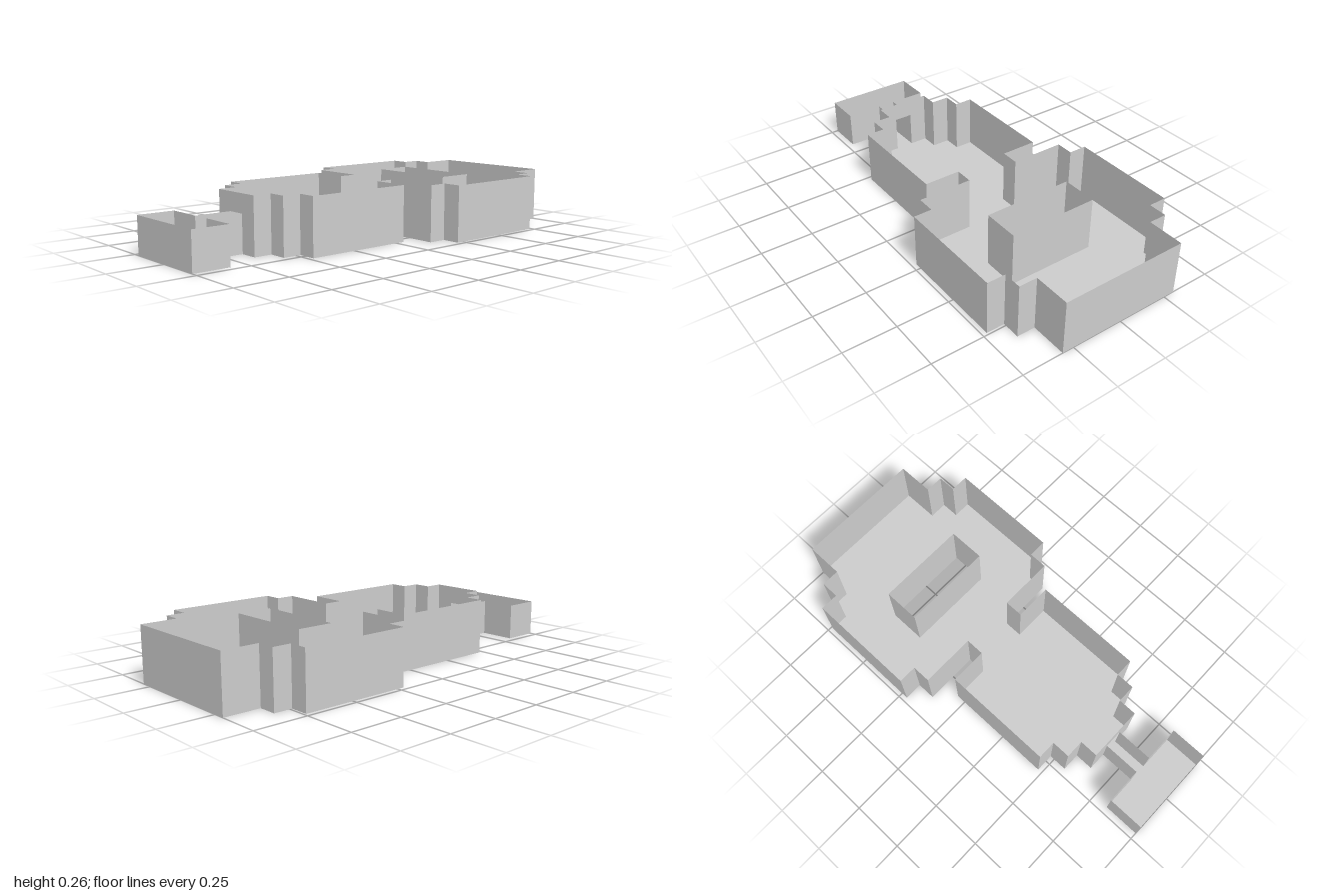
import * as THREE from 'three';

const U = 2 / 23; // plan grid cell
const TALL = 3 * U;
const LOW = 2 * U;

// Half plan in cells [half width, z], from the back wall to the front doorway
const mainHalf = [
  [3.5, -11.5], [3.5, -9.5], [4.5, -9.5], [4.5, -8.5], [5.5, -8.5], [5.5, -2.5],
  [4.5, -2.5], [4.5, -1.5], [1.5, -1.5], [1.5, -0.5], [3.5, -0.5], [3.5, 5.5],
  [2.5, 5.5], [2.5, 6.5], [1.5, 6.5], [1.5, 7.5], [0.5, 7.5],
];
// Passage and small front room
const annexHalf = [[0.5, 7.5], [0.5, 9.5], [2.5, 9.5], [2.5, 11.5]];
// Open shaft in the middle of the back room
const shaft = [[-2.5, -6.5], [2.5, -6.5], [2.5, -4.5], [-2.5, -4.5]];

const toPoints = (cells) => cells.map(([x, z]) => new THREE.Vector2(x * U, z * U));
const mirror = (cells) => cells.map(([x, z]) => [-x, z]).reverse();

// Thin vertical wall that follows a plan path
function wallGeometry(cells, y0, y1) {
  const pts = toPoints(cells);
  const pos = [];
  for (let i = 0; i < pts.length - 1; i++) {
    const a = pts[i], b = pts[i + 1];
    pos.push(a.x, y0, a.y, a.x, y1, a.y, b.x, y1, b.y);
    pos.push(a.x, y0, a.y, b.x, y1, b.y, b.x, y0, b.y);
  }
  const geo = new THREE.BufferGeometry();
  geo.setAttribute('position', new THREE.Float32BufferAttribute(pos, 3));
  geo.computeVertexNormals();
  return geo;
}

export function createModel() {
  const group = new THREE.Group();
  const material = new THREE.MeshStandardMaterial({
    color: 0xcccccc, flatShading: true, side: THREE.DoubleSide,
  });
  const add = (name, geometry) => {
    const mesh = new THREE.Mesh(geometry, material);
    mesh.name = name;
    group.add(mesh);
  };

  // Floor with the shaft opening
  const half = [...mainHalf, ...annexHalf.slice(1)];
  const plan = new THREE.Shape(toPoints([...half, ...mirror(half)]));
  plan.holes.push(new THREE.Path(toPoints(shaft)));
  add('floor', new THREE.ShapeGeometry(plan).rotateX(Math.PI / 2));

  // Tall walls of the two main rooms, open at the front doorway
  add('mainWalls', wallGeometry([...mirror(mainHalf), ...mainHalf], 0, TALL));
  add('doorLintel', wallGeometry([[-0.5, 7.5], [0.5, 7.5]], LOW, TALL));

  // Low walls of the passage and front room
  add('annexWalls', wallGeometry([...annexHalf, ...mirror(annexHalf)], 0, LOW));

  // Walls round the shaft
  add('shaftWalls', wallGeometry([...shaft, shaft[0]], 0, TALL));

  return group;
}
